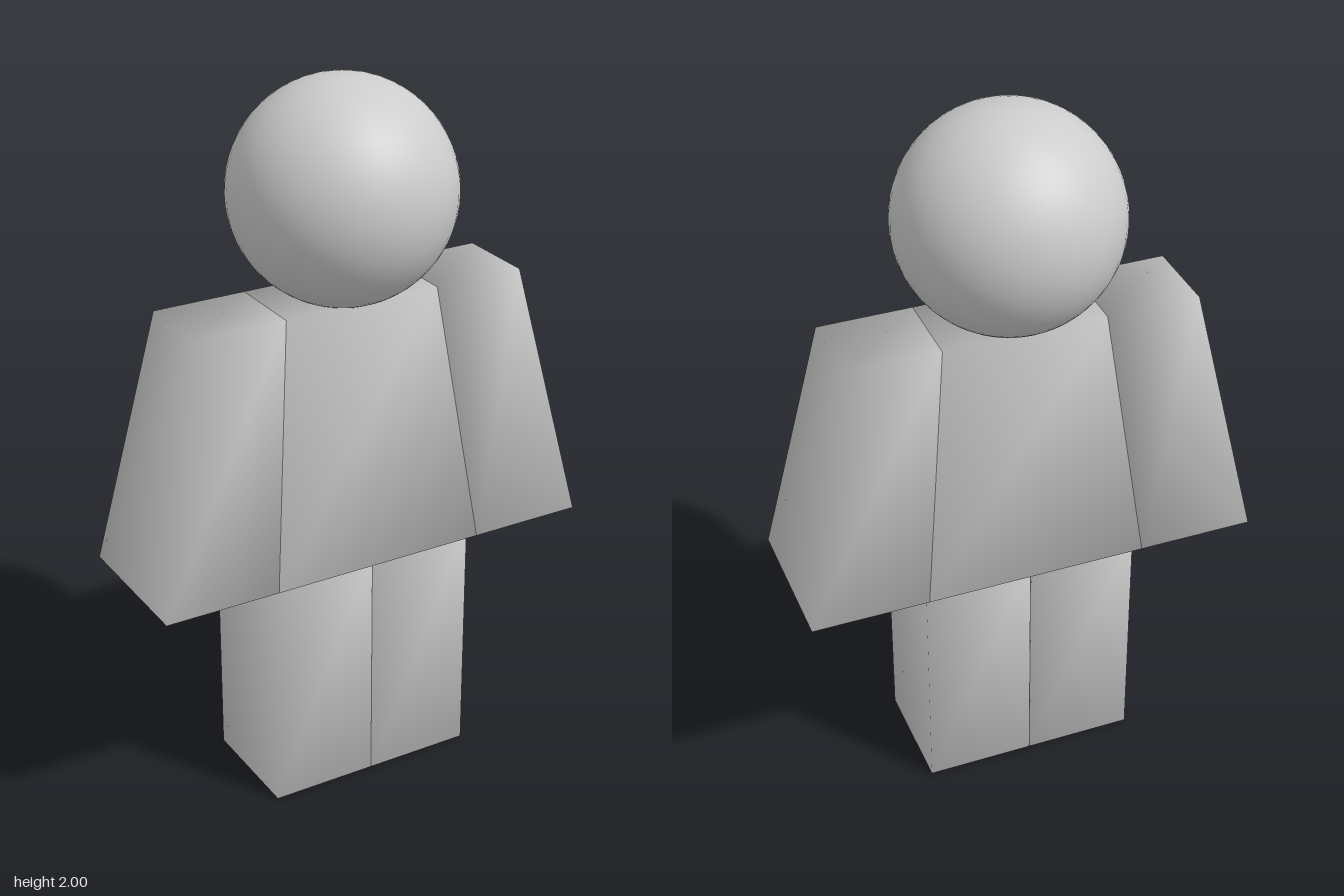
import * as THREE from 'three';
import { mergeVertices } from 'three/addons/utils/BufferGeometryUtils.js';

// Box with separate bottom and top rectangles [x0, x1, z0, z1], sharing corners for soft shading
function taperedBlock(y0, y1, bottom, top) {
  let geo = new THREE.BoxGeometry(1, 1, 1);
  geo.deleteAttribute('normal');
  geo.deleteAttribute('uv');
  geo = mergeVertices(geo);
  const p = geo.attributes.position;
  for (let i = 0; i < p.count; i++) {
    const r = p.getY(i) < 0 ? bottom : top;
    p.setXYZ(i, r[p.getX(i) < 0 ? 0 : 1], p.getY(i) < 0 ? y0 : y1, r[p.getZ(i) < 0 ? 2 : 3]);
  }
  geo.computeVertexNormals();
  return geo;
}

export function createModel() {
  const group = new THREE.Group();
  const grey = new THREE.MeshStandardMaterial({ color: 0xcccccc });
  grey.name = 'lightGrey';
  const add = (name, geo) => {
    const mesh = new THREE.Mesh(geo, grey);
    mesh.name = name;
    group.add(mesh);
    return mesh;
  };

  // Head, resting just into the shoulders
  add('head', new THREE.SphereGeometry(0.305, 48, 32)).position.set(0, 1.695, 0);

  // Torso, flaring towards the hem
  const hem = [-0.215, 0.205], shoulder = [-0.122, 0.108];
  add('torso', taperedBlock(0.69, 1.417, [-0.313, 0.313, ...hem], [-0.228, 0.228, ...shoulder]));

  // Arms follow the slope of the torso, legs are straight blocks
  for (const [side, s] of [['left', 1], ['right', -1]]) {
    const span = (a, b) => (s > 0 ? [a, b] : [-b, -a]);
    add(side + 'Arm', taperedBlock(0.69, 1.417,
      [...span(0.313, 0.643), ...hem], [...span(0.228, 0.492), ...shoulder]));
    const foot = [...span(0.001, 0.306), -0.168, 0.165];
    add(side + 'Leg', taperedBlock(0, 0.69, foot, foot));
  }
  return group;
}
